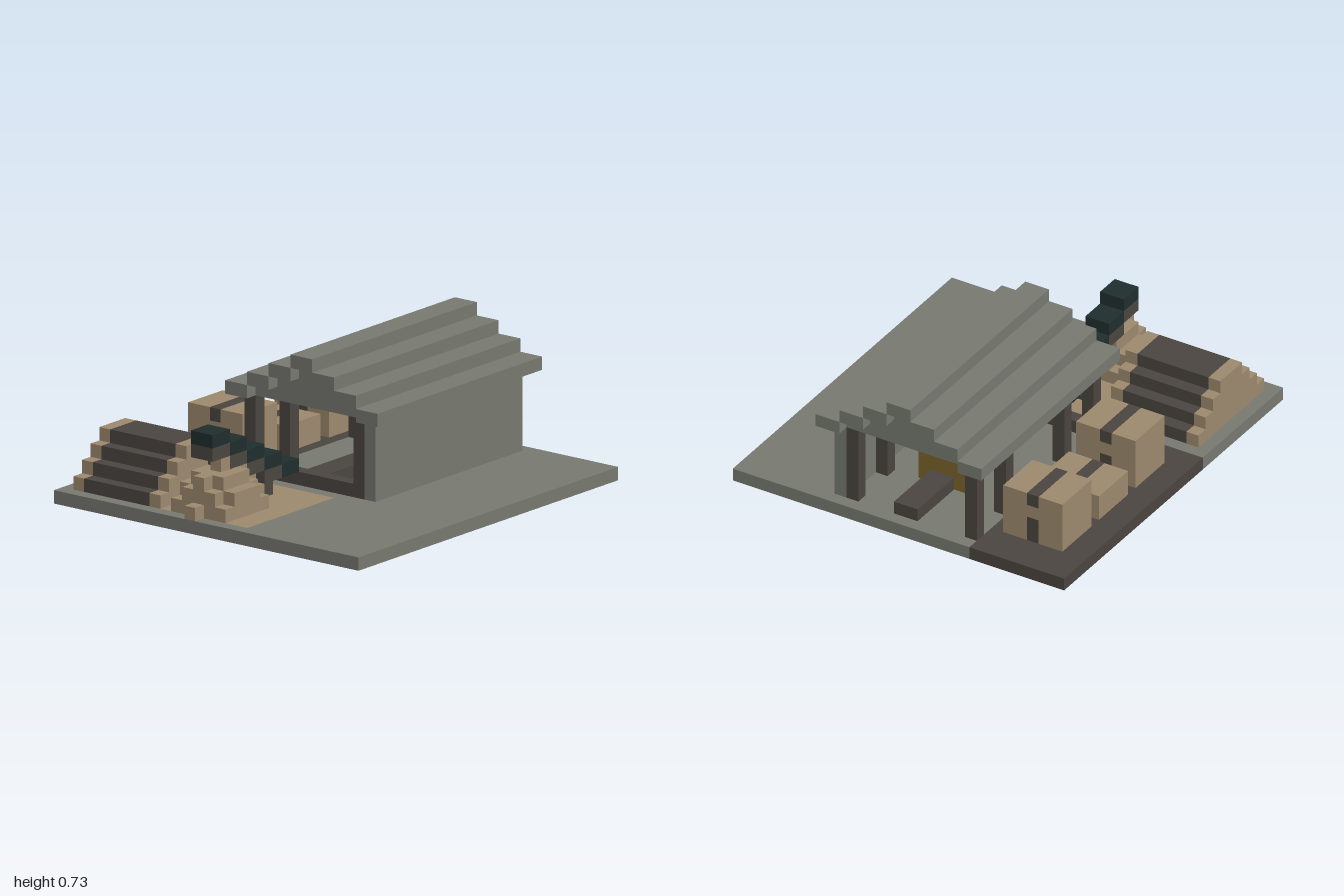
import * as THREE from 'three';

export function createModel() {
  const model = new THREE.Group();
  model.name = 'blockWorkshop';
  const U = 1 / 15; // one block
  const mat = (name, color) => {
    const m = new THREE.MeshStandardMaterial({ color });
    m.name = name;
    return m;
  };
  const stone = mat('stone grey', 0x777970);
  const tan = mat('tan', 0x9d896e);
  const brown = mat('dark brown', 0x4a4540);
  const teal = mat('dark teal', 0x202e2e);
  const ochre = mat('ochre', 0x7a632a);

  const group = (name) => {
    const g = new THREE.Group();
    g.name = name;
    model.add(g);
    return g;
  };
  // Box between two corners, measured in blocks
  const box = (parent, name, material, x0, x1, y0, y1, z0, z1) => {
    const mesh = new THREE.Mesh(new THREE.BoxGeometry((x1 - x0) * U, (y1 - y0) * U, (z1 - z0) * U), material);
    mesh.position.set((x0 + x1) / 2 * U, (y0 + y1) / 2 * U, (z0 + z1) / 2 * U);
    mesh.name = name;
    parent.add(mesh);
  };

  // Ground slab in three colours
  const ground = group('ground');
  box(ground, 'frontYard', stone, -15, 15, 0, 1, 3, 14);
  box(ground, 'workshopFloor', stone, -4, 15, 0, 1, -6, 3);
  box(ground, 'sideStrip', stone, -15, -14, 0, 1, -6, 3);
  box(ground, 'backYard', stone, -15, -4, 0, 1, -14, -6);
  box(ground, 'crateYard', brown, -4, 15, 0, 1, -14, -6);
  box(ground, 'sandPatch', tan, -14, -4, 0, 1, -6, 3);

  // Shed: front wall, two rows of posts, low sill
  const shed = group('shed');
  box(shed, 'frontWall', stone, -3, 14, 1, 7, 5, 6);
  for (const x of [-3, 1, 9, 13]) {
    box(shed, 'backPost', brown, x, x + 1, 1, 7, -6, -5);
    box(shed, 'frontPost', brown, x, x + 1, 1, 7, 4, 5);
  }
  box(shed, 'endSill', brown, -3, -2, 1, 2, -5, 4);

  // Stepped roof: overhanging planks over a recessed gable
  const roof = group('roof');
  for (let i = 0; i < 3; i++) {
    const z = 5 - 2 * i;
    box(roof, 'roofStep', stone, -4, 15, 7 + i, 8 + i, z, z + 2);
    box(roof, 'roofStep', stone, -4, 15, 7 + i, 8 + i, -z - 2, -z);
    box(roof, 'gable', stone, -3, 14, 7 + i, 8 + i, -z, z);
  }
  box(roof, 'ridge', stone, -4, 15, 10, 11, -1, 1);

  // Machine on a feed bench
  const machine = group('machine');
  box(machine, 'feedBench', brown, -2, 14, 1, 2, -1, 1);
  for (const x of [6, 8]) {
    box(machine, 'sidePlateTop', ochre, x, x + 1, 2, 4, -2, 2);
    box(machine, 'sidePlateFoot', ochre, x, x + 1, 1, 2, -2, -1);
    box(machine, 'sidePlateFoot', ochre, x, x + 1, 1, 2, 1, 2);
  }
  box(machine, 'core', brown, 7, 8, 2, 4, -2, 2);
  box(machine, 'hood', stone, 6, 9, 4, 5, -1, 2);
  box(machine, 'hoodEdge', brown, 6, 9, 4, 5, -2, -1);

  // Rising conveyor
  const conveyor = group('conveyor');
  for (let i = 0; i < 5; i++) {
    const x = -5 - 2 * i;
    box(conveyor, 'belt', teal, x, x + 2, 2 + i, 3 + i, -3, -1);
    if (i > 0) box(conveyor, 'beltFrame', brown, x, x + 2, 1 + i, 2 + i, -3, -1);
  }
  box(conveyor, 'leg', brown, -7, -6, 1, 2, -3, -1);

  // Strapped crates, the middle one low
  for (const [x, top] of [[-2, 5], [3, 3], [8, 5]]) {
    const crate = group('crate');
    box(crate, 'crateBack', tan, x, x + 4, 1, top, -12, -10);
    box(crate, 'crateFront', tan, x, x + 4, 1, top, -9, -7);
    box(crate, 'strapTop', brown, x, x + 4, top - 1, top, -10, -9);
    if (top > 3) box(crate, 'strapBottom', brown, x, x + 4, 1, 3, -10, -9);
    box(crate, 'crateMiddle', tan, x, x + 4, top > 3 ? 3 : 1, top - 1, -10, -9);
  }

  // Stepped stack with a dark cover between tan ends
  const stack = group('coveredStack');
  for (let i = 0; i < 4; i++) {
    const size = [-14 + i, -5 - i, 1 + i, 2 + i];
    box(stack, 'stackEnd', tan, ...size, -13, -12);
    box(stack, 'cover', brown, ...size, -12, -6);
    box(stack, 'stackEnd', tan, ...size, -6, -5);
  }

  // Heap of sand under the conveyor's high end
  const heap = group('sandHeap');
  const lumps = [
    [-14, -9, 1, 2, -4, 1], [-15, -8, 1, 2, -2, -1], [-8, -7, 1, 2, -2, -1],
    [-14, -9, 2, 3, -3, 0], [-13, -10, 2, 3, -4, 1], [-9, -8, 2, 3, -2, -1],
    [-13, -10, 3, 4, -3, 0], [-14, -9, 3, 4, -2, -1], [-12, -11, 4, 5, -2, -1],
  ];
  for (const l of lumps) box(heap, 'sandLump', tan, ...l);

  return model;
}
